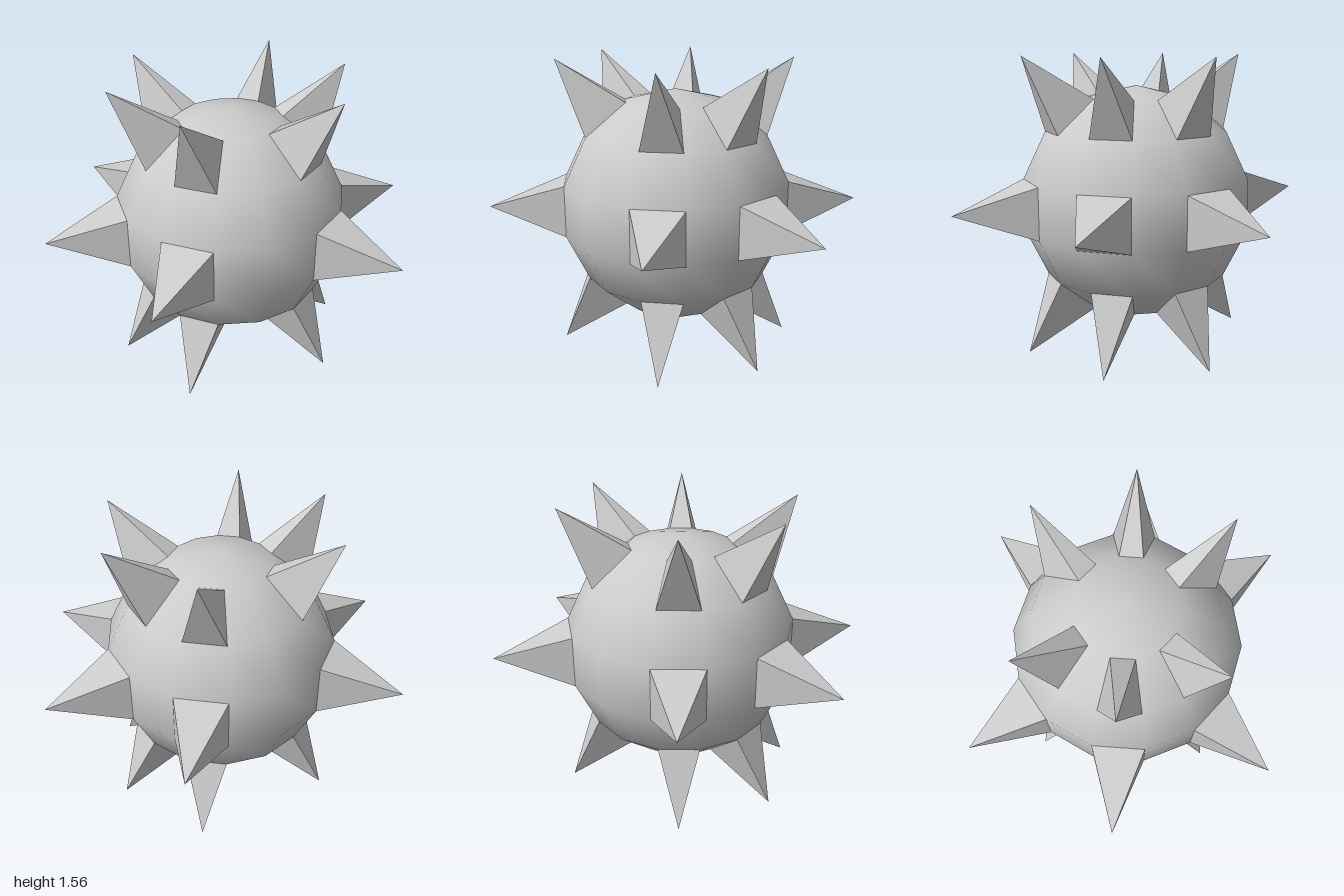
import * as THREE from 'three';

const RADIUS = 0.623, TIP = 1.0, CENTRE_Y = 0.79;
const STEP = Math.PI / 7; // angular size of one panel of the ball

// Point at a given azimuth (from +x towards +z) and latitude
function polar(azimuth, latitude, r) {
  return new THREE.Vector3(
    r * Math.cos(latitude) * Math.cos(azimuth),
    r * Math.sin(latitude),
    r * Math.cos(latitude) * Math.sin(azimuth)
  );
}

// Four-sided spike whose base matches one panel of the ball
function spikeGeometry(azimuth, latitude) {
  const h = STEP / 2;
  const corners = [[h, -h], [-h, -h], [-h, h], [h, h]]
    .map(([a, l]) => polar(azimuth + a, latitude + l, RADIUS));
  const apex = polar(azimuth, latitude, TIP);
  const points = [];
  corners.forEach((c, i) => points.push(c, corners[(i + 1) % 4], apex));
  const geometry = new THREE.BufferGeometry().setFromPoints(points);
  geometry.computeVertexNormals();
  return geometry;
}

export function createModel() {
  const model = new THREE.Group();
  model.name = 'spikedBall';
  const smooth = new THREE.MeshStandardMaterial({ color: 0xcccccc });
  const flat = new THREE.MeshStandardMaterial({ color: 0xcccccc, flatShading: true });

  // Ball, turned half a panel so that a panel faces each side
  const ball = new THREE.Mesh(new THREE.SphereGeometry(RADIUS, 14, 7, STEP / 2), smooth);
  ball.name = 'ball';
  ball.position.y = CENTRE_Y;
  model.add(ball);

  // Three rings of six spikes, on panels 0, 2, 5, 7, 9 and 12 around
  const rings = { lowerSpike: -2, middleSpike: 0, upperSpike: 2 };
  for (const [name, row] of Object.entries(rings)) {
    [0, 2, 5, 7, 9, 12].forEach((panel, i) => {
      const spike = new THREE.Mesh(spikeGeometry(panel * STEP, row * STEP), flat);
      spike.name = name + (i + 1);
      spike.position.y = CENTRE_Y;
      model.add(spike);
    });
  }
  return model;
}
